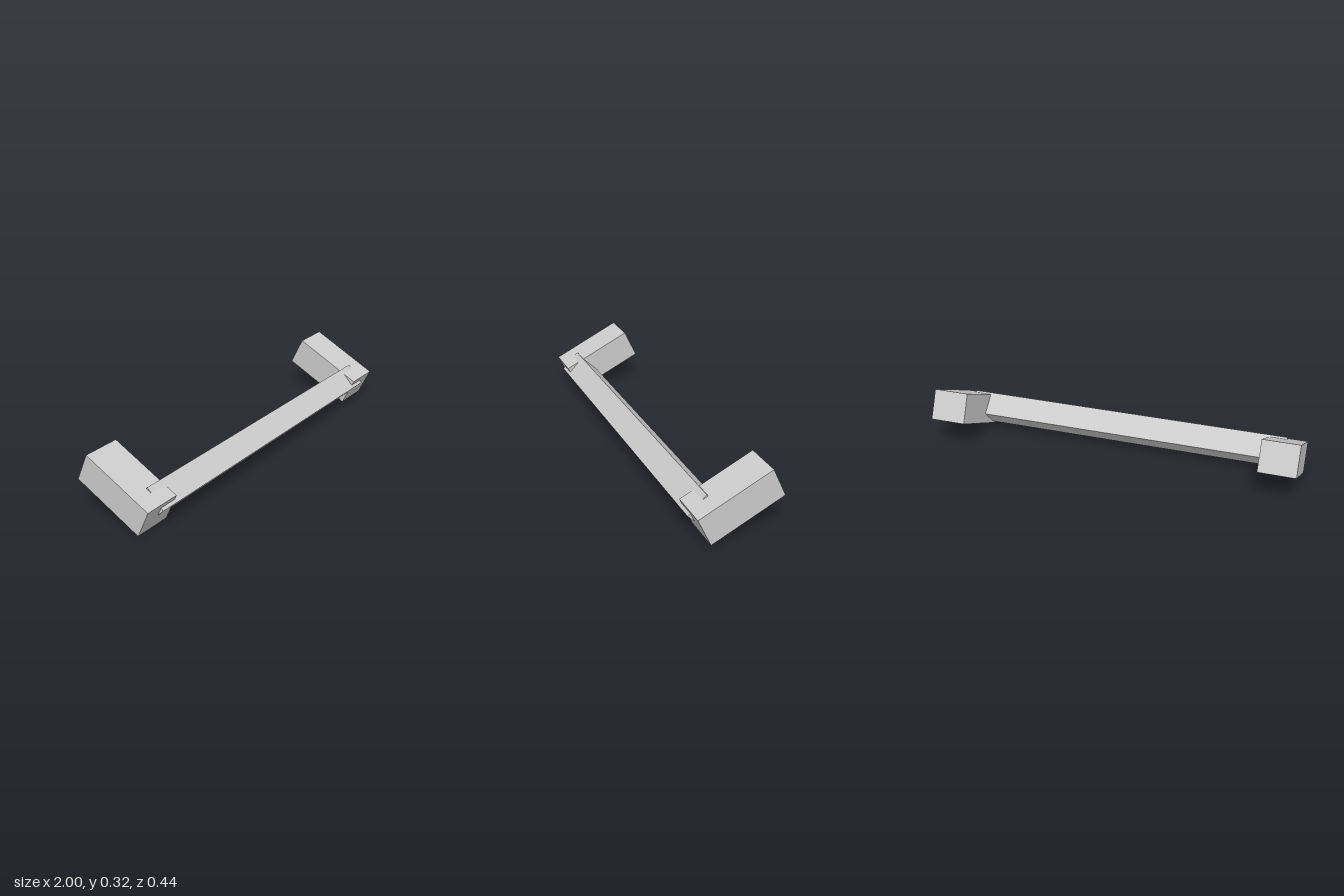
import * as THREE from 'three';

export function createModel() {
  const group = new THREE.Group();
  const grey = new THREE.MeshStandardMaterial({ color: 0xcccccc });
  grey.name = 'light grey';

  function addBox(name, size, position, tilt) {
    const mesh = new THREE.Mesh(new THREE.BoxGeometry(...size), grey);
    mesh.name = name;
    mesh.position.set(...position);
    mesh.rotation.x = THREE.MathUtils.degToRad(tilt);
    group.add(mesh);
  }

  // tilted end blocks, mirrored left and right
  for (const side of [1, -1]) {
    addBox(side > 0 ? 'leftEndBlock' : 'rightEndBlock',
      [0.195, 0.166, 0.412], [side * 0.9025, 0.163, 0], 25);
  }

  // square crossbar set on its edge, sunk halfway into the blocks
  addBox('crossbar', [1.8, 0.1315, 0.1315], [0, 0.113, 0.13], 45);

  return group;
}
